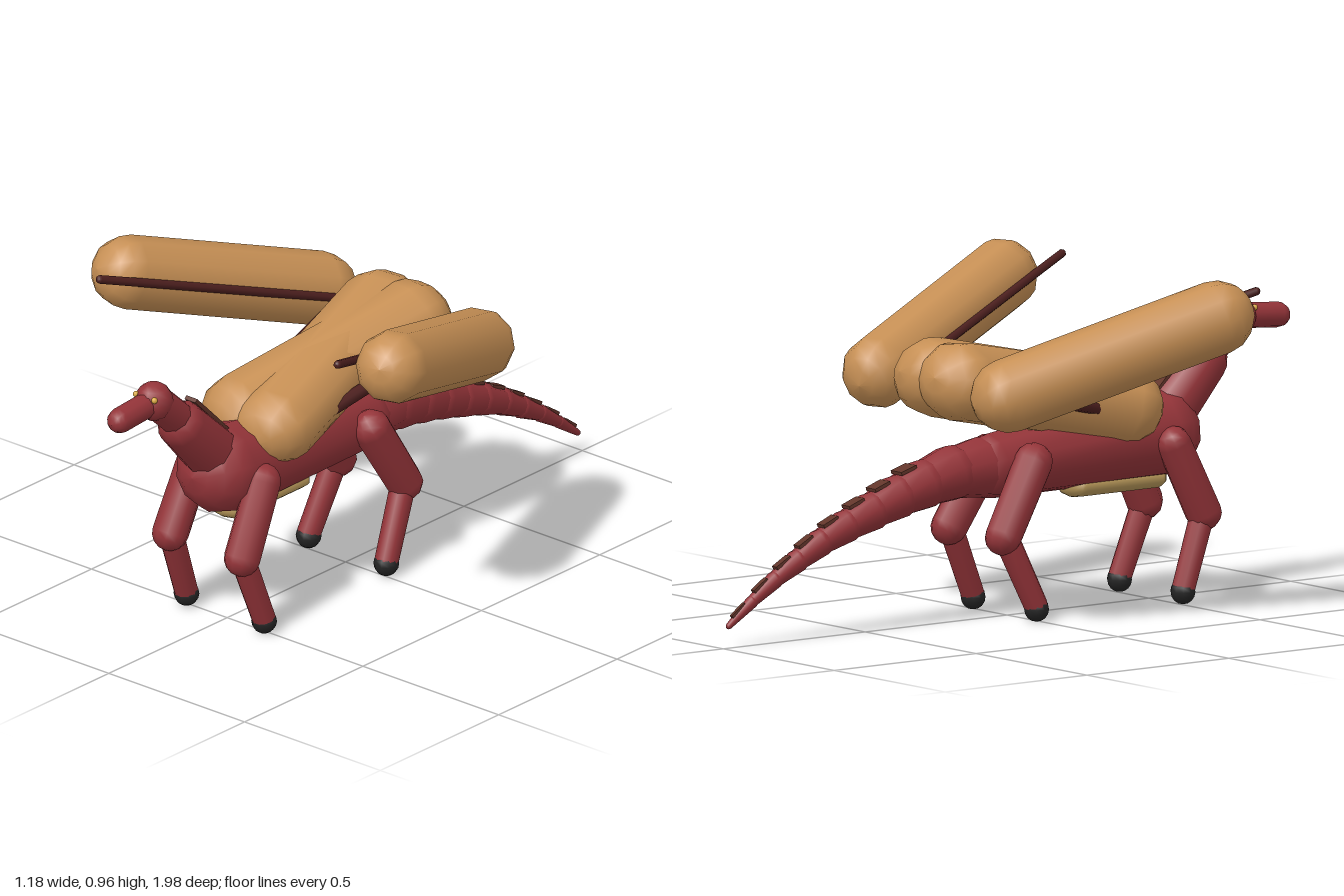
import * as THREE from 'three';

const mat = (name, color) => {
  const m = new THREE.MeshStandardMaterial({ color });
  m.name = name;
  return m;
};

const UP = new THREE.Vector3(0, 1, 0);

export function createModel() {
  const model = new THREE.Group();
  model.name = 'wingedLizard';

  const red = mat('red hide', 0x943439);
  const tan = mat('tan membrane', 0xc79055);
  const belly = mat('belly yellow', 0xb8985a);
  const bone = mat('dark wing bone', 0x4c1f1e);
  const scute = mat('brown scute', 0x62352a);
  const black = mat('black hoof', 0x242424);
  const amber = mat('amber eye', 0xd8a840);

  // Round-ended limb from point a (radius ra) to point b (radius rb)
  function limb(name, material, a, b, ra, rb = ra, sides = 10) {
    const A = new THREE.Vector3(...a), B = new THREE.Vector3(...b);
    const dir = B.clone().sub(A), len = dir.length();
    const profile = [], steps = 4;
    for (let i = 0; i <= steps; i++) {
      const t = (i / steps) * Math.PI / 2;
      profile.push(new THREE.Vector2(ra * Math.sin(t), -ra * Math.cos(t)));
    }
    for (let i = 0; i <= steps; i++) {
      const t = (i / steps) * Math.PI / 2;
      profile.push(new THREE.Vector2(rb * Math.cos(t), len + rb * Math.sin(t)));
    }
    profile[0].x = profile[profile.length - 1].x = 0;
    const mesh = new THREE.Mesh(new THREE.LatheGeometry(profile, sides), material);
    mesh.name = name;
    mesh.position.copy(A);
    mesh.quaternion.setFromUnitVectors(UP, dir.normalize());
    model.add(mesh);
    return mesh;
  }

  function ball(name, material, p, r) {
    const mesh = new THREE.Mesh(new THREE.SphereGeometry(r, 10, 8), material);
    mesh.name = name;
    mesh.position.set(...p);
    model.add(mesh);
    return mesh;
  }

  // Thin plate lying in the side plane's slope, pitched about x
  function plate(name, p, size, pitch) {
    const mesh = new THREE.Mesh(new THREE.BoxGeometry(...size), scute);
    mesh.name = name;
    mesh.position.set(...p);
    mesh.rotation.x = pitch;
    model.add(mesh);
  }

  // Torso and belly
  limb('torso', red, [0, 0.465, 0.52], [0, 0.425, -0.06], 0.13, 0.092);
  const bellyPlate = limb('belly', belly, [0, 0.345, 0.5], [0, 0.345, 0.235], 0.036);
  bellyPlate.scale.x = 1.9;

  // Neck, head and snout
  limb('neckBase', red, [0, 0.53, 0.57], [0, 0.652, 0.69], 0.08, 0.07);
  limb('neckUpper', red, [0, 0.66, 0.69], [0, 0.75, 0.79], 0.05);
  ball('head', red, [0, 0.765, 0.81], 0.056);
  limb('snout', red, [0, 0.762, 0.85], [0, 0.754, 0.953], 0.036);
  plate('neckScute', [0, 0.647, 0.582], [0.04, 0.012, 0.2], -0.78);

  // Tail of overlapping tapered segments: [y, z, radius]
  const tail = [
    [0.425, -0.10, 0.086], [0.418, -0.20, 0.079], [0.395, -0.30, 0.072],
    [0.368, -0.39, 0.064], [0.336, -0.48, 0.056], [0.303, -0.57, 0.048],
    [0.265, -0.66, 0.040], [0.222, -0.74, 0.033], [0.176, -0.82, 0.025],
    [0.122, -0.90, 0.018], [0.062, -0.98, 0.010],
  ];
  for (let i = 0; i < tail.length - 1; i++) {
    const [y0, z0, r0] = tail[i], [y1, z1, r1] = tail[i + 1];
    limb('tailSegment', red, [0, y0, z0], [0, y1, z1], r0, r1 * 0.9);
    if (i > 1) {
      const slope = Math.atan2(y0 - y1, z0 - z1);
      const ym = (y0 + y1) / 2, zm = (z0 + z1) / 2, r = (r0 + r1 * 0.9) / 2;
      plate('tailScute', [0, ym + r * Math.cos(slope), zm - r * Math.sin(slope)],
        [r * 0.75, 0.01, 0.055], -slope);
    }
  }

  for (const s of [-1, 1]) {
    ball('eye', amber, [s * 0.034, 0.788, 0.846], 0.009);

    // Legs
    limb('frontThigh', red, [s * 0.125, 0.45, 0.49], [s * 0.132, 0.25, 0.588], 0.05, 0.052);
    limb('frontShin', red, [s * 0.132, 0.245, 0.585], [s * 0.143, 0.045, 0.51], 0.036, 0.034);
    ball('frontHoof', black, [s * 0.143, 0.036, 0.508], 0.036);
    limb('hindThigh', red, [s * 0.105, 0.44, 0.01], [s * 0.122, 0.245, -0.108], 0.056, 0.053);
    limb('hindShin', red, [s * 0.125, 0.24, -0.1], [s * 0.143, 0.045, -0.01], 0.036, 0.034);
    ball('hindHoof', black, [s * 0.143, 0.036, -0.008], 0.036);

    // Wing bones
    limb('wingArm', bone, [s * 0.11, 0.535, 0.4], [s * 0.195, 0.675, -0.21], 0.02, 0.018, 8);
    limb('wingFinger', bone, [s * 0.195, 0.675, -0.21], [s * 0.438, 0.912, 0.535], 0.014, 0.012, 8);

    // Puffed membranes: inner pair crosses over the back, outer sweeps forward
    const inner = limb('innerMembrane', tan,
      [s * 0.057, 0.56, 0.362], [-s * 0.057, 0.682, -0.21], 0.112);
    inner.scale.x = 1.15;
    limb('outerMembrane', tan, [s * 0.29, 0.672, -0.225], [s * 0.488, 0.861, 0.36], 0.104);
  }

  return model;
}
